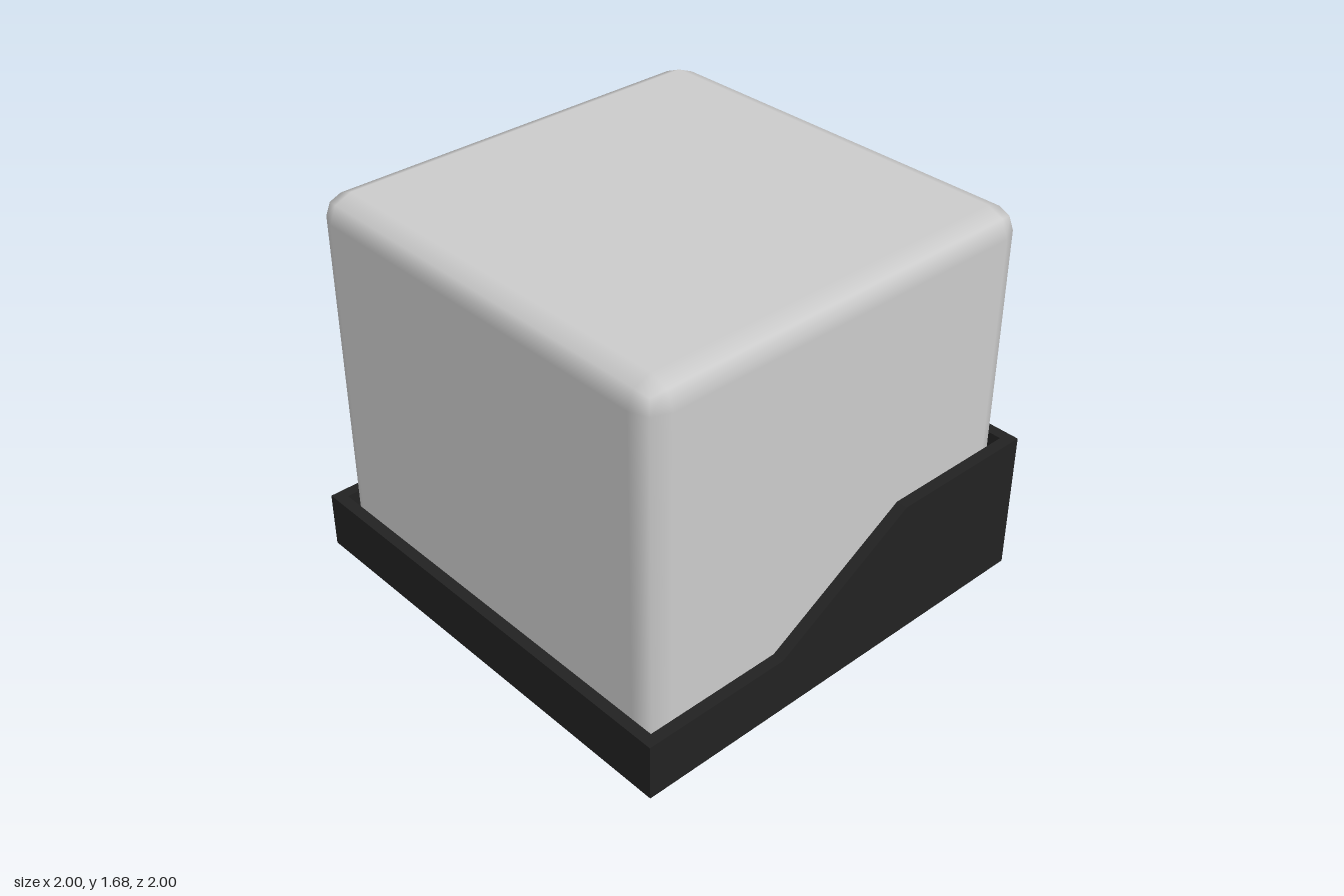
import * as THREE from 'three';
import { RoundedBoxGeometry } from 'three/addons/geometries/RoundedBoxGeometry.js';

const WALL = 0.05, LOW = 0.25, HIGH = 0.63, TOP = 1.685, FLOOR = 0.05;

export function createModel() {
  const model = new THREE.Group();
  const grey = new THREE.MeshStandardMaterial({ color: 0xcccccc });
  const black = new THREE.MeshStandardMaterial({ color: 0x222222 });

  const add = (parent, name, geometry, material, x, y, z) => {
    const mesh = new THREE.Mesh(geometry, material);
    mesh.name = name;
    mesh.position.set(x, y, z);
    parent.add(mesh);
  };

  // Rounded block sitting in the tray
  const height = TOP - FLOOR;
  add(model, 'block', new RoundedBoxGeometry(1.892, height, 1.892, 1, 0.105), grey, 0, FLOOR + height / 2, 0);

  // Open tray: low on one side, sloping up to the other
  const tray = new THREE.Group();
  tray.name = 'tray';
  model.add(tray);

  const profile = new THREE.Shape([
    [-1, 0], [1, 0], [1, HIGH], [0.325, HIGH], [-0.33, LOW], [-1, LOW],
  ].map(([x, y]) => new THREE.Vector2(x, y)));
  const slopedWall = new THREE.ExtrudeGeometry(profile, { depth: WALL, bevelEnabled: false });
  add(tray, 'frontWall', slopedWall, black, 0, 0, 1 - WALL);
  add(tray, 'backWall', slopedWall, black, 0, 0, -1);

  // Side walls and floor fit between the sloped walls
  const inner = 2 - 2 * WALL;
  const sideWall = (name, h, x) =>
    add(tray, name, new THREE.BoxGeometry(WALL, h, inner), black, x, h / 2, 0);
  sideWall('leftWall', HIGH, 1 - WALL / 2);
  sideWall('rightWall', LOW, -1 + WALL / 2);
  add(tray, 'floor', new THREE.BoxGeometry(inner, FLOOR, inner), black, 0, FLOOR / 2, 0);

  return model;
}
